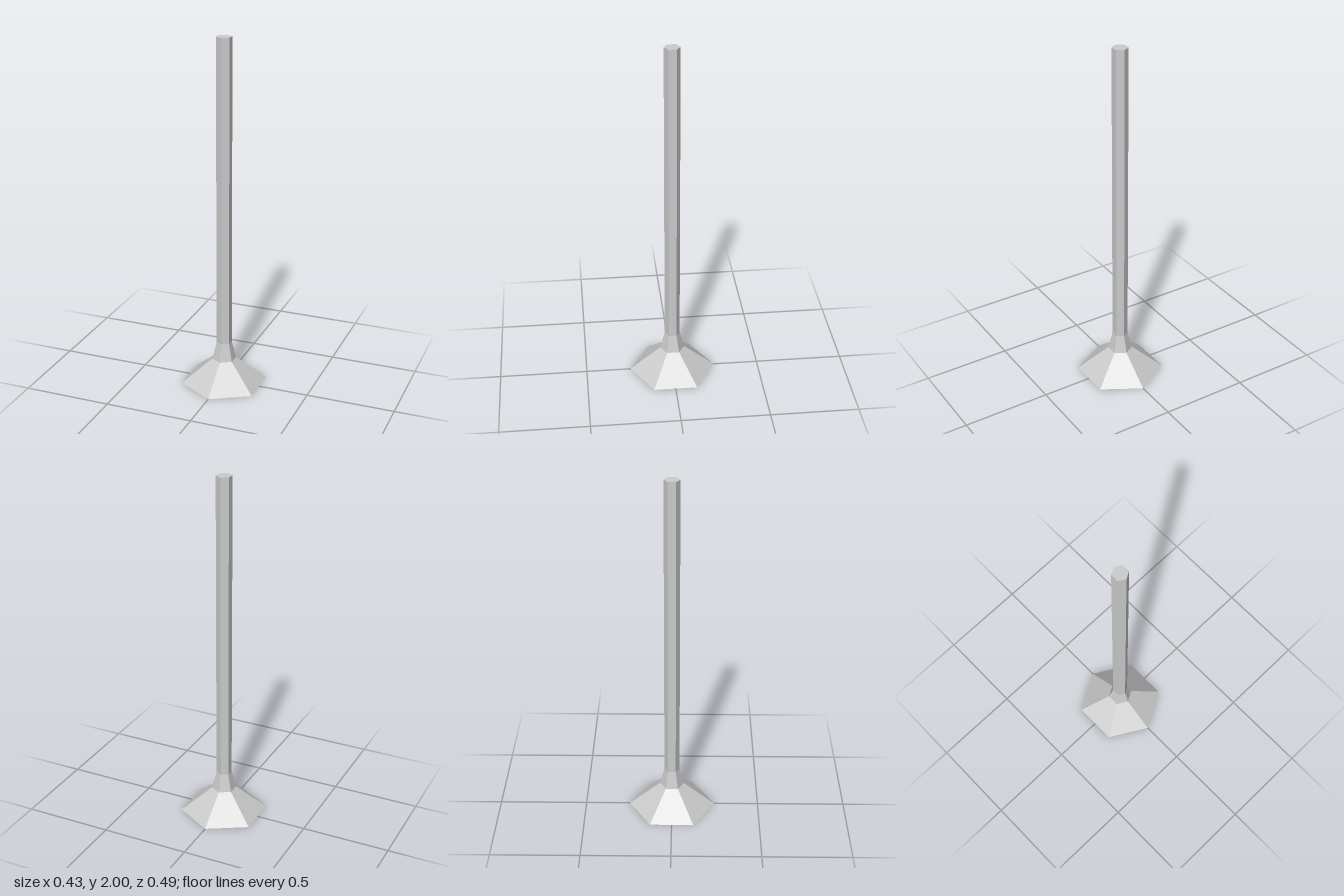
import * as THREE from 'three';

const SIDES = 6;
const material = new THREE.MeshStandardMaterial({ color: 0xcccccc, flatShading: true });

// Hexagonal solid of revolution with corners on the z axis; profile is [radius, y]
function hexLathe(name, profile) {
  const points = profile.map(([r, y]) => new THREE.Vector2(r, y));
  const mesh = new THREE.Mesh(new THREE.LatheGeometry(points, SIDES), material);
  mesh.name = name;
  return mesh;
}

export function createModel() {
  const group = new THREE.Group();
  group.name = 'post';

  // Flared foot with a shallow recess underneath and a tapering neck
  group.add(hexLathe('base', [
    [0, 0.048], [0.16, 0.048], [0.246, 0], [0.069, 0.142], [0.0435, 0.245],
  ]));

  // Tall straight shaft with a flat top
  group.add(hexLathe('shaft', [[0.0435, 0.245], [0.0435, 2], [0, 2]]));

  return group;
}
